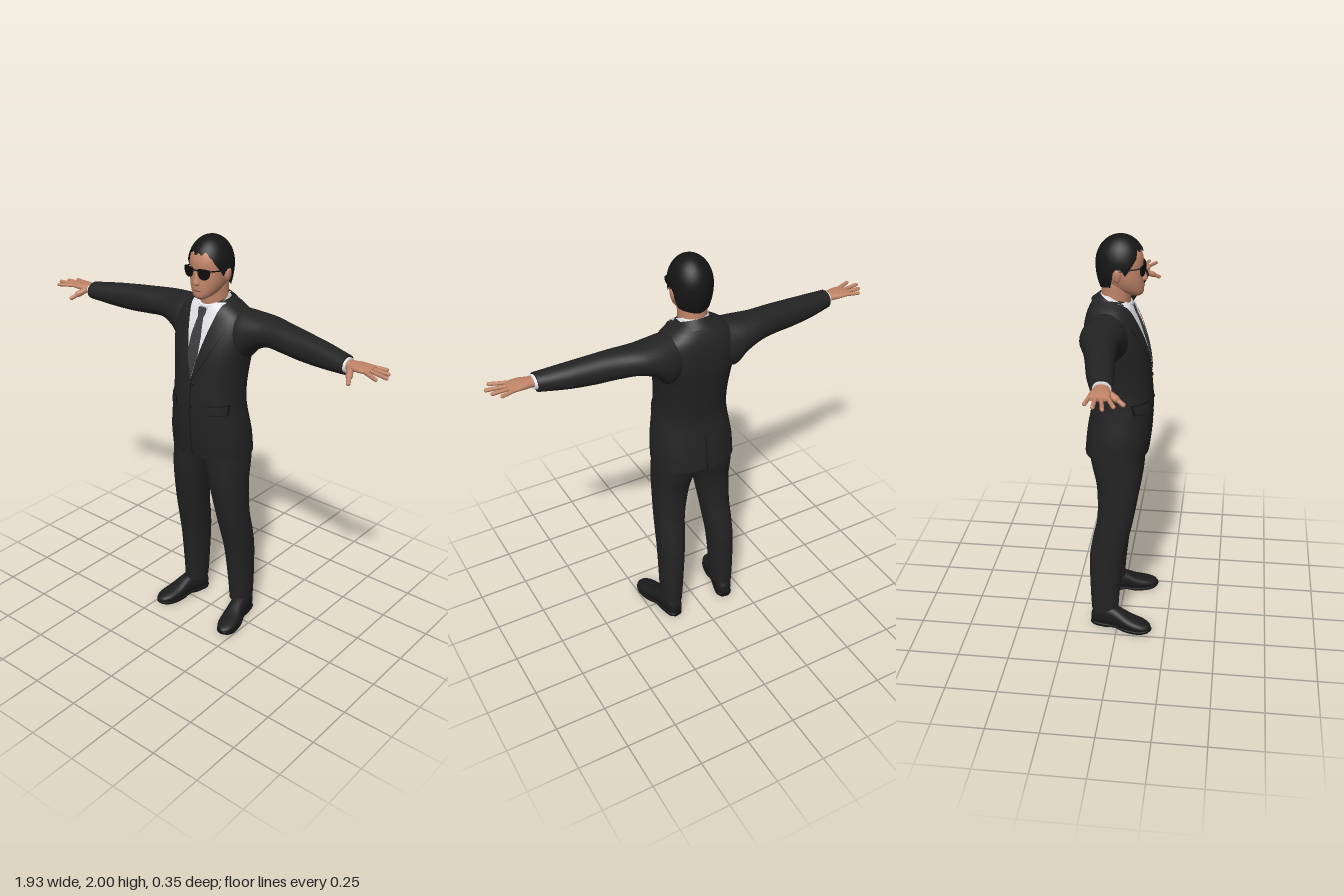
import * as THREE from 'three';

const mat = (name, color, side = THREE.DoubleSide) => new THREE.MeshStandardMaterial({ name, color, side });

// Smooth interpolation of a row table by its first column
function sample(rows, t) {
  let i = 0;
  while (i < rows.length - 2 && t > rows[i + 1][0]) i++;
  const a = rows[i], b = rows[i + 1], p = rows[i - 1] || a, q = rows[i + 2] || b;
  const h = b[0] - a[0], u = Math.min(1, Math.max(0, (t - a[0]) / h));
  return a.map((v, k) => {
    const m0 = (b[k] - p[k]) / (b[0] - p[0]) * h, m1 = (q[k] - a[k]) / (q[0] - a[0]) * h;
    return v + u * m0 + u * u * (3 * (b[k] - v) - 2 * m0 - m1) + u * u * u * (2 * (v - b[k]) + m0 + m1);
  });
}

// Straight interpolation in a two-column table
function linear(rows, t) {
  let i = 0;
  while (i < rows.length - 2 && t > rows[i + 1][0]) i++;
  const [a, b] = [rows[i], rows[i + 1]];
  return THREE.MathUtils.lerp(a[1], b[1], THREE.MathUtils.clamp((t - a[0]) / (b[0] - a[0]), 0, 1));
}

// Capped loft of super-ellipses; rows are [t, u0, u1, v0, v1]
// axis y: u=x, v=z; axis x: u=z, v=y; axis z: u=y, v=x
function loft(axis, rows, n = 2, seg = 32, sub = 4) {
  const pos = [], idx = [], place = { y: (t, u, v) => [u, t, v], x: (t, u, v) => [t, v, u], z: (t, u, v) => [v, u, t] }[axis];
  const ts = [];
  rows.forEach((r, i) => {
    if (i) for (let k = 1; k <= sub; k++) ts.push(rows[i - 1][0] + (r[0] - rows[i - 1][0]) * k / sub);
    else ts.push(r[0]);
  });
  const pw = (c) => Math.sign(c) * Math.pow(Math.abs(c), 2 / n);
  const ring = (t) => {
    const [, u0, u1, v0, v1] = sample(rows, t);
    for (let j = 0; j < seg; j++) {
      const a = j / seg * Math.PI * 2;
      pos.push(...place(t, (u0 + u1) / 2 + (u1 - u0) / 2 * pw(Math.cos(a)), (v0 + v1) / 2 + (v1 - v0) / 2 * pw(Math.sin(a))));
    }
    return [(u0 + u1) / 2, (v0 + v1) / 2];
  };
  ts.forEach((t, i) => {
    ring(t);
    if (i) for (let j = 0; j < seg; j++) {
      const a = (i - 1) * seg + j, b = (i - 1) * seg + (j + 1) % seg;
      idx.push(a, a + seg, b, b, a + seg, b + seg);
    }
  });
  [ts[0], ts[ts.length - 1]].forEach((t, end) => {
    const s = pos.length / 3, c = ring(t);
    pos.push(...place(t, ...c));
    for (let j = 0; j < seg; j++) {
      const a = s + j, b = s + (j + 1) % seg;
      idx.push(s + seg, end ? b : a, end ? a : b);
    }
  });
  return build(pos, idx);
}

function build(pos, idx) {
  const g = new THREE.BufferGeometry();
  g.setAttribute('position', new THREE.Float32BufferAttribute(pos, 3));
  g.setIndex(idx);
  g.computeVertexNormals();
  return g;
}

// Grid of points f(u, v), u and v from 0 to 1
function grid(nu, nv, f) {
  const pos = [], idx = [];
  for (let i = 0; i <= nv; i++) for (let j = 0; j <= nu; j++) {
    pos.push(...f(j / nu, i / nv));
    if (i && j) {
      const d = i * (nu + 1) + j, c = d - 1, b = d - nu - 1, a = b - 1;
      idx.push(a, b, c, b, d, c);
    }
  }
  return build(pos, idx);
}

function mirror(geo) {
  const g = geo.clone().scale(-1, 1, 1), ix = g.index.array;
  for (let i = 0; i < ix.length; i += 3) [ix[i], ix[i + 1]] = [ix[i + 1], ix[i]];
  g.computeVertexNormals();
  return g;
}

// Rounded rod between two points
function rod(a, b, r) {
  const A = new THREE.Vector3(...a), B = new THREE.Vector3(...b), d = B.clone().sub(A);
  const q = new THREE.Quaternion().setFromUnitVectors(new THREE.Vector3(0, 1, 0), d.clone().normalize());
  return new THREE.CapsuleGeometry(r, d.length(), 5, 12).applyQuaternion(q).translate(...A.add(B).multiplyScalar(0.5).toArray());
}

const TORSO_N = 2.4;
const torso = [
  [0.95, -0.203, 0.203, -0.17, 0.138], [1.05, -0.2, 0.2, -0.16, 0.15], [1.2, -0.178, 0.178, -0.137, 0.155],
  [1.3, -0.172, 0.172, -0.145, 0.148], [1.42, -0.183, 0.183, -0.161, 0.135], [1.5, -0.197, 0.197, -0.17, 0.117],
  [1.58, -0.2, 0.2, -0.168, 0.09], [1.64, -0.18, 0.18, -0.155, 0.064], [1.68, -0.13, 0.13, -0.135, 0.046],
  [1.708, -0.08, 0.08, -0.11, 0.02]];

// Thin cloth plate lying on the torso between two x limits
function drape(y0, y1, xa, xb, off, side = 1) {
  return grid(10, 32, (u, v) => {
    const y = y0 + (y1 - y0) * v, x = THREE.MathUtils.lerp(xa(y), xb(y), u);
    const [, , w, z0, z1] = sample(torso, y), k = Math.min(0.995, Math.abs(x) / w);
    return [x, y, (z0 + z1) / 2 + side * ((z1 - z0) / 2 * Math.pow(1 - k ** TORSO_N, 1 / TORSO_N) + off)];
  });
}

export function createModel() {
  const model = new THREE.Group();
  const suit = mat('suit cloth', 0x232323), trim = mat('dark seam', 0x121212), shirt = mat('white shirt', 0xe6e6ea);
  const tieMat = mat('grey tie', 0x3c3c3e), skin = mat('skin', 0xc08468, THREE.FrontSide), lip = mat('lips', 0xa0614f, THREE.FrontSide);
  const hairMat = mat('black hair', 0x151515), shade = mat('dark glass', 0x0c0c0d), leather = mat('black leather', 0x1c1c1c);
  const add = (name, geo, m) => {
    const o = new THREE.Mesh(geo, m);
    o.name = name;
    model.add(o);
  };
  const pair = (name, geo, m) => { add(name + 'Left', geo, m); add(name + 'Right', mirror(geo), m); };

  // Jacket body and sleeves
  add('jacket', loft('y', torso, TORSO_N, 48), suit);
  pair('sleeve', loft('x', [
    [0.08, -0.14, 0.03, 1.46, 1.675], [0.17, -0.162, 0.05, 1.435, 1.672], [0.22, -0.16, 0.04, 1.485, 1.668],
    [0.3, -0.148, 0.025, 1.525, 1.663], [0.4, -0.117, 0.028, 1.525, 1.658], [0.5, -0.095, 0.034, 1.52, 1.65],
    [0.62, -0.072, 0.045, 1.524, 1.637], [0.75, -0.038, 0.057, 1.537, 1.62]], 2.1), suit);

  // Shirt front, tie, lapels and seams
  const open = (y) => Math.max(0, (y - 1.35) * 0.25);
  const lapel = (y) => linear([[1.35, 0.004], [1.42, 0.05], [1.52, 0.1], [1.6, 0.135], [1.615, 0.105], [1.695, 0.09]], y);
  const tieW = (y) => linear([[1.36, 0.002], [1.47, 0.03], [1.55, 0.029], [1.64, 0.015], [1.645, 0.021], [1.68, 0.025]], y);
  add('shirtFront', drape(1.35, 1.7, (y) => -open(y), open, 0.003), shirt);
  add('tie', drape(1.36, 1.675, (y) => -tieW(y), tieW, 0.008), tieMat);
  pair('lapel', drape(1.35, 1.695, open, lapel, 0.007), suit);
  pair('lapelSeam', drape(1.35, 1.6, lapel, (y) => lapel(y) + 0.004, 0.004), trim);
  pair('collarPoint', drape(1.605, 1.675, (y) => 0.046 - (y - 1.605) * 0.36, (y) => 0.05 + (y - 1.605) * 0.2, 0.0095), shirt);
  add('frontSeam', drape(0.95, 1.35, () => -0.002, () => 0.002, 0.002), trim);
  add('backVent', drape(0.95, 1.13, () => -0.002, () => 0.002, 0.002, -1), trim);
  pair('pocketSeam', drape(1.186, 1.238, () => 0.092, () => 0.168, 0.002), trim);
  pair('pocketFlap', drape(1.19, 1.234, () => 0.095, () => 0.165, 0.006), suit);
  for (const y of [1.22, 1.33]) add('button', new THREE.SphereGeometry(0.008, 12, 8).scale(1, 1, 0.5).translate(0.008, y, sample(torso, y)[4] + 0.003), trim);

  // Shirt collar and jacket collar, lower at the front
  add('shirtCollar', new THREE.CylinderGeometry(0.074, 0.084, 0.045, 32, 1, true).rotateX(0.45).translate(0, 1.691, -0.022), shirt);
  add('jacketCollar', new THREE.CylinderGeometry(0.083, 0.108, 0.045, 32, 1, true, 0.8, Math.PI * 2 - 1.6).rotateX(0.4).translate(0, 1.678, -0.028), suit);

  // Trousers
  pair('trouserLeg', loft('y', [
    [0.095, 0.1, 0.2, -0.132, 0.003], [0.2, 0.093, 0.203, -0.137, 0.01], [0.4, 0.08, 0.204, -0.14, 0.033],
    [0.5, 0.068, 0.204, -0.125, 0.052], [0.6, 0.057, 0.202, -0.104, 0.073], [0.7, 0.042, 0.2, -0.1, 0.091],
    [0.8, 0.023, 0.2, -0.106, 0.105], [0.88, 0.002, 0.2, -0.125, 0.11], [0.98, -0.03, 0.198, -0.145, 0.11]], 2.3), suit);

  // Shoes, toes turned outward
  const turn = (g) => g.rotateY(0.23).translate(0.143, 0, -0.13);
  pair('shoe', turn(loft('z', [
    [0, 0.015, 0.07, -0.022, 0.022], [0.02, 0.008, 0.105, -0.038, 0.038], [0.08, 0.01, 0.125, -0.042, 0.042],
    [0.14, 0.012, 0.105, -0.042, 0.042], [0.2, 0.008, 0.075, -0.049, 0.049], [0.26, 0.008, 0.057, -0.047, 0.047],
    [0.298, 0.012, 0.044, -0.03, 0.03], [0.312, 0.02, 0.032, -0.008, 0.008]], 2.3)), leather);
  pair('sole', turn(loft('z', [
    [-0.002, 0, 0.022, -0.022, 0.022], [0.02, 0, 0.022, -0.04, 0.04], [0.09, 0, 0.022, -0.041, 0.041],
    [0.13, 0.008, 0.022, -0.04, 0.04], [0.19, 0, 0.02, -0.051, 0.051], [0.26, 0, 0.02, -0.049, 0.049],
    [0.3, 0.006, 0.024, -0.031, 0.031], [0.315, 0.014, 0.026, -0.008, 0.008]], 4)), trim);

  // Shirt cuffs and hands
  pair('cuff', loft('x', [[0.74, -0.03, 0.05, 1.545, 1.613], [0.762, -0.026, 0.05, 1.549, 1.612]], 2.1), shirt);
  pair('palm', loft('x', [
    [0.74, -0.018, 0.042, 1.562, 1.604], [0.775, -0.02, 0.046, 1.566, 1.604], [0.81, -0.029, 0.056, 1.571, 1.605],
    [0.85, -0.032, 0.058, 1.575, 1.602], [0.875, -0.026, 0.05, 1.581, 1.597]], 2.4), skin);
  const fingers = [[[0.845, -0.022], [0.913, -0.035]], [[0.86, 0], [0.942, 0.001]], [[0.86, 0.023], [0.957, 0.04]], [[0.85, 0.045], [0.93, 0.08]]];
  for (const [a, b] of fingers) pair('finger', rod([a[0], 1.589, a[1]], [b[0], 1.586, b[1]], 0.0088), skin);
  pair('thumbBase', rod([0.78, 1.58, 0.035], [0.802, 1.562, 0.075], 0.015), skin);
  pair('thumb', rod([0.802, 1.562, 0.075], [0.818, 1.545, 0.105], 0.01), skin);

  // Neck and head
  add('neck', loft('y', [[1.63, -0.07, 0.07, -0.095, 0.04], [1.7, -0.068, 0.068, -0.092, 0.045], [1.79, -0.068, 0.068, -0.088, 0.055]]), skin);
  add('head', loft('y', [
    [1.722, -0.02, 0.02, 0.045, 0.09], [1.735, -0.042, 0.042, 0, 0.102], [1.76, -0.063, 0.063, -0.05, 0.104],
    [1.8, -0.079, 0.079, -0.083, 0.103], [1.85, -0.086, 0.086, -0.098, 0.1], [1.9, -0.085, 0.085, -0.1, 0.1],
    [1.95, -0.068, 0.068, -0.08, 0.076], [1.98, -0.03, 0.03, -0.04, 0.035]], 2.2, 36), skin);
  add('nose', loft('y', [
    [1.788, -0.011, 0.011, 0.08, 0.106], [1.798, -0.017, 0.017, 0.08, 0.121], [1.82, -0.012, 0.012, 0.08, 0.115],
    [1.862, -0.009, 0.009, 0.08, 0.103]], 2, 16), skin);
  add('mouth', new THREE.SphereGeometry(1, 20, 10).scale(0.025, 0.007, 0.009).translate(0, 1.767, 0.099), lip);
  pair('ear', new THREE.SphereGeometry(1, 16, 12).scale(0.011, 0.032, 0.02).rotateZ(-0.15).translate(0.091, 1.83, -0.01), skin);

  // Hair shell, its lower edge set by the angle from the front
  const hairline = [[0, 1.93], [0.6, 1.938], [0.85, 1.9], [1.1, 1.865], [1.3, 1.83], [1.45, 1.862], [1.72, 1.862], [1.95, 1.775], [3.15, 1.755]];
  add('hair', grid(96, 20, (u, v) => {
    const a = (u * 2 - 1) * Math.PI, t = Math.abs(a);
    const low = linear(hairline, t) + (t < 0.8 ? 0.006 * Math.sin(a * 17) : 0);
    const y = 2 - (2 - low) * v * v, d = y - 1.87;
    const s = d > 0 ? Math.sqrt(Math.max(0, 1 - (d / 0.13) ** 2)) : 1 - 15 * d * d;
    return [-0.1 * s * Math.sin(-a), y, -0.002 + 0.114 * s * Math.cos(a)];
  }).rotateY(0), hairMat);

  // Sunglasses
  const lens = new THREE.Shape();
  lens.moveTo(-0.029, 0.02);
  lens.quadraticCurveTo(0, 0.025, 0.031, 0.02);
  lens.bezierCurveTo(0.034, -0.01, 0.022, -0.025, 0.002, -0.026);
  lens.bezierCurveTo(-0.018, -0.026, -0.03, -0.01, -0.029, 0.02);
  for (const s of [1, -1]) {
    const g = new THREE.ExtrudeGeometry(lens, { depth: 0.006, bevelEnabled: false, curveSegments: 10 });
    g.setIndex([...Array(g.attributes.position.count).keys()]);
    g.rotateY(0.25).translate(0.041, 1.848, 0.1);
    add('sunglassLens', s > 0 ? g : mirror(g), shade);
  }
  add('sunglassBridge', rod([-0.016, 1.861, 0.109], [0.016, 1.861, 0.109], 0.003), shade);
  pair('sunglassTemple', rod([0.07, 1.863, 0.094], [0.095, 1.852, -0.005], 0.003), shade);
  return model;
}
